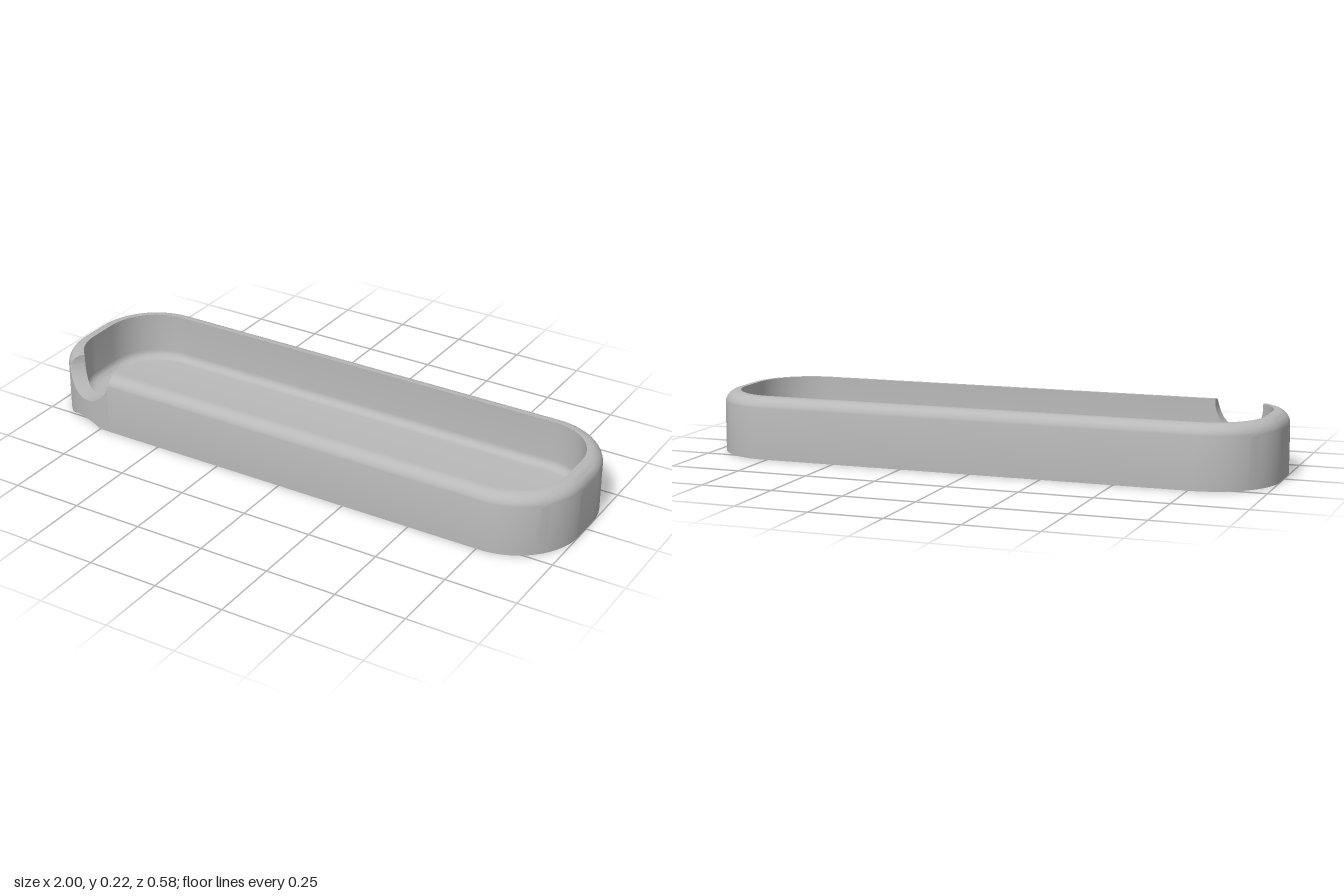
import * as THREE from 'three';
import { toCreasedNormals } from 'three/addons/utils/BufferGeometryUtils.js';

const HX = 1, HZ = 0.292, H = 0.215; // half length, half width, height
const R = 0.24, CX = HX - R, CZ = HZ - R; // corner radius and corner centres
const WALL = 0.055, FLOOR = 0.04, LIP = 0.045, COVE = 0.03;

// Stations around the outline: outer point, outward normal, local cuts
function makeStations() {
  const list = [];
  const arc = (sx, sz, from, to, n = 24) => {
    for (let i = 0; i <= n; i++) {
      const a = from + ((to - from) * i) / n;
      const nx = Math.cos(a), nz = Math.sin(a);
      list.push({ x: sx * CX + R * nx, z: sz * CZ + R * nz, nx, nz, top: H, lift: 0, dig: 0 });
    }
  };
  const q = Math.PI / 2;
  arc(1, 1, 0, q);

  // Finger notch in the rim and small scoop below it, at the front right corner
  const mid = -0.812, r = 0.107, n = 48;
  const notch = (i, cut) => {
    const t = (Math.PI * i) / n;
    const x = mid + r * Math.cos(t);
    const nx = Math.min(0, (x + CX) / R), nz = Math.sqrt(1 - nx * nx);
    const e = Math.abs(x + 0.83) / 0.08;
    list.push({
      x, z: CZ + R * nz, nx, nz,
      top: cut ? 0.205 - r * Math.sin(t) : H,
      lift: 0.025 * Math.max(0, 1 - e * e),
      dig: 0.08 * Math.max(0, 1 - e),
    });
  };
  notch(0, false);
  for (let i = 0; i <= n; i++) notch(i, true);
  notch(n, false);

  arc(-1, 1, Math.acos((mid - r + CX) / R), 2 * q, 14);
  arc(-1, -1, 2 * q, 3 * q);
  arc(1, -1, 3 * q, 4 * q);
  return list;
}

// Wall section from the underside, over the rim, to the inner floor
function section(s) {
  const at = (inset, y) => [s.x - s.nx * inset, Math.min(y, s.top), s.z - s.nz * inset];
  const spine = (y) => [THREE.MathUtils.clamp(s.x, -0.7, 0.7), y, 0];
  const pts = [spine(0), at(s.dig, 0), at(0, s.lift)];
  for (let i = 0; i <= 8; i++) {
    const a = (Math.PI / 2) * (i / 8);
    pts.push(at(LIP * (1 - Math.cos(a)), H - LIP + LIP * Math.sin(a)));
  }
  pts.push(at(WALL, H));
  for (let i = 0; i <= 6; i++) {
    const a = (Math.PI / 2) * (i / 6);
    pts.push(at(WALL + COVE * (1 - Math.cos(a)), FLOOR + COVE * (1 - Math.sin(a))));
  }
  pts.push(spine(FLOOR));
  return pts;
}

function trayGeometry() {
  const rings = makeStations().map(section);
  const m = rings[0].length, n = rings.length, index = [];
  for (let i = 0; i < n; i++) {
    for (let j = 0; j < m - 1; j++) {
      const a = i * m + j, c = ((i + 1) % n) * m + j;
      index.push(a, a + 1, c, c, a + 1, c + 1);
    }
  }
  const g = new THREE.BufferGeometry();
  g.setAttribute('position', new THREE.Float32BufferAttribute(rings.flat(2), 3));
  g.setIndex(index);
  return toCreasedNormals(g, 0.6);
}

export function createModel() {
  const group = new THREE.Group();
  group.name = 'roundedTray';
  const grey = new THREE.MeshStandardMaterial({ color: 0xb8b8b8 });
  grey.name = 'grey';
  const tray = new THREE.Mesh(trayGeometry(), grey);
  tray.name = 'trayBody';
  group.add(tray);
  return group;
}
